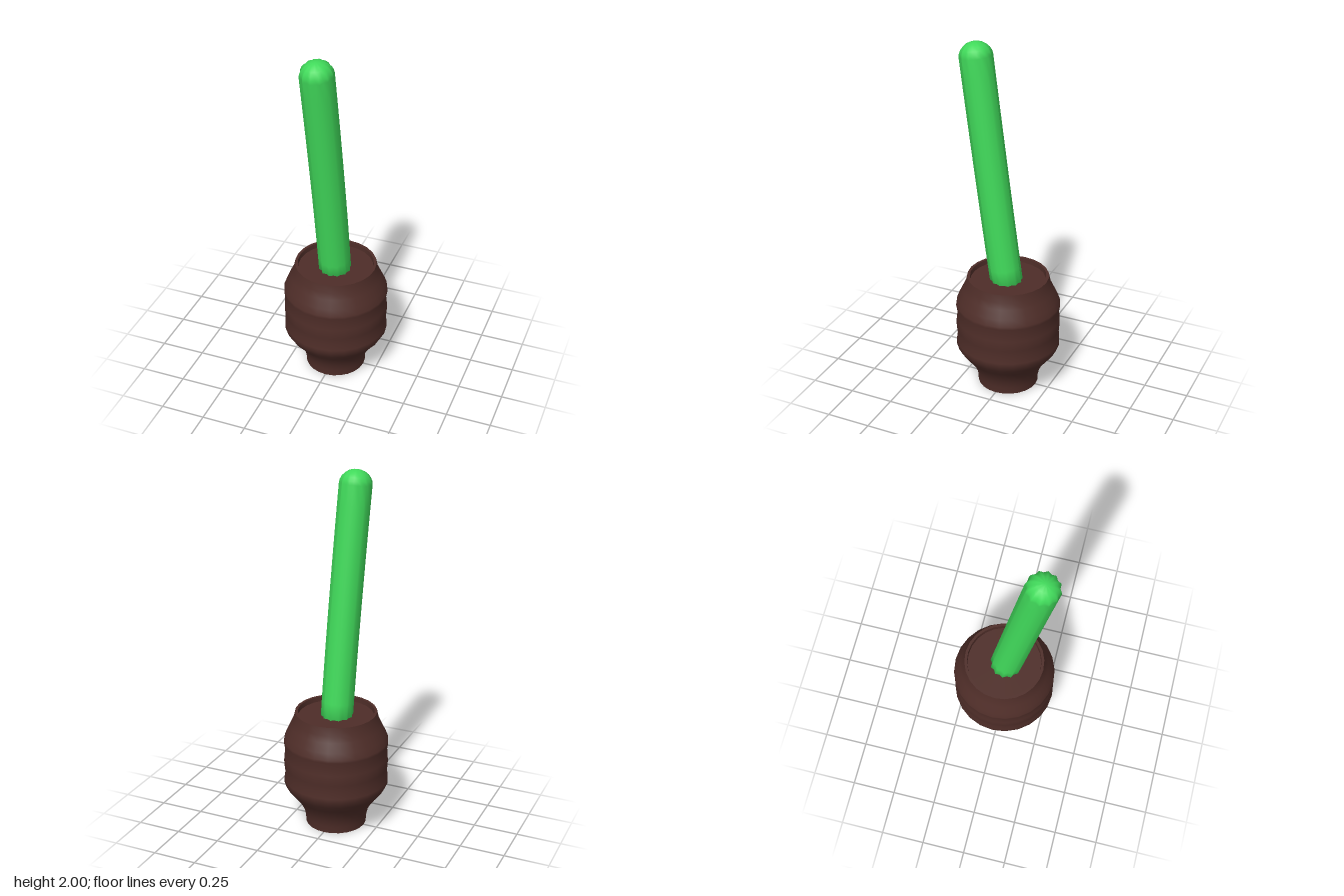
import * as THREE from 'three';
import { mergeVertices } from 'three/addons/utils/BufferGeometryUtils.js';

const SEGMENTS = 24;
const brown = new THREE.MeshStandardMaterial({ color: 0x4e2d28 });
const green = new THREE.MeshStandardMaterial({ color: 0x40d95a });

// Weld a geometry and give it smooth normals across the seam
function smooth(geometry) {
  geometry.deleteAttribute('uv');
  geometry.deleteAttribute('normal');
  const welded = mergeVertices(geometry);
  welded.computeVertexNormals();
  return welded;
}

function lathe(points) {
  return smooth(new THREE.LatheGeometry(points.map(([r, y]) => new THREE.Vector2(r, y)), SEGMENTS));
}

function add(group, name, geometry, material) {
  const mesh = new THREE.Mesh(geometry, material);
  mesh.name = name;
  group.add(mesh);
}

// Round pot with softly ringed belly; separate strips keep the rim edges sharp
function buildPot() {
  const pot = new THREE.Group();
  pot.name = 'pot';
  add(pot, 'potWall', lathe([
    [0.171, 0], [0.173, 0.04], [0.182, 0.08], [0.203, 0.125], [0.235, 0.17], [0.272, 0.215],
    [0.294, 0.255], [0.293, 0.28], [0.287, 0.32], [0.291, 0.36], [0.293, 0.39], [0.291, 0.42],
    [0.286, 0.46], [0.293, 0.5], [0.292, 0.515], [0.278, 0.55], [0.254, 0.6], [0.238, 0.635], [0.228, 0.68],
  ]), brown);
  add(pot, 'potBase', lathe([[0, 0], [0.171, 0]]), brown);
  add(pot, 'potRim', lathe([[0.228, 0.68], [0.213, 0.68]]), brown);
  add(pot, 'potInnerWall', lathe([[0.213, 0.68], [0.211, 0.65]]), brown);
  add(pot, 'soil', lathe([[0.212, 0.652], [0, 0.652]]), brown);
  return pot;
}

// Ribbed stem with a domed tip, swept along a gently leaning curve
function buildStem() {
  const bottom = 0.62, top = 1.92, height = top - bottom;
  const profile = [[0, bottom]];
  for (let i = 0; i <= 12; i++) profile.push([0.09, bottom + height * i / 12]);
  for (let i = 1; i <= 6; i++) {
    const a = i / 6 * Math.PI / 2;
    profile.push([i === 6 ? 0 : 0.09 * Math.cos(a), top + 0.078 * Math.sin(a)]);
  }
  const geometry = new THREE.LatheGeometry(profile.map(([r, y]) => new THREE.Vector2(r, y)), SEGMENTS);
  const pos = geometry.attributes.position;
  const p = new THREE.Vector3();
  for (let i = 0; i < pos.count; i++) {
    p.fromBufferAttribute(pos, i);
    // Twelve ribs: every second line of vertices is pulled inward
    const angle = Math.atan2(p.x, p.z);
    const rib = 0.945 + 0.055 * Math.cos(12 * angle);
    // Lean forward and drift slightly to one side
    const t = (p.y - bottom) / height;
    const slopeX = -0.042 * t / height, slopeZ = 0.145;
    const x = p.x * rib, z = p.z * rib;
    pos.setXYZ(i,
      x - 0.026 * Math.pow(Math.max(t, 0), 1.6),
      p.y - slopeX * x - slopeZ * z,
      z + 0.007 + slopeZ * (p.y - bottom));
  }
  const stem = new THREE.Group();
  stem.name = 'stem';
  add(stem, 'ribbedStem', smooth(geometry), green);
  return stem;
}

export function createModel() {
  const model = new THREE.Group();
  model.name = 'pottedCactus';
  model.add(buildPot(), buildStem());
  return model;
}
